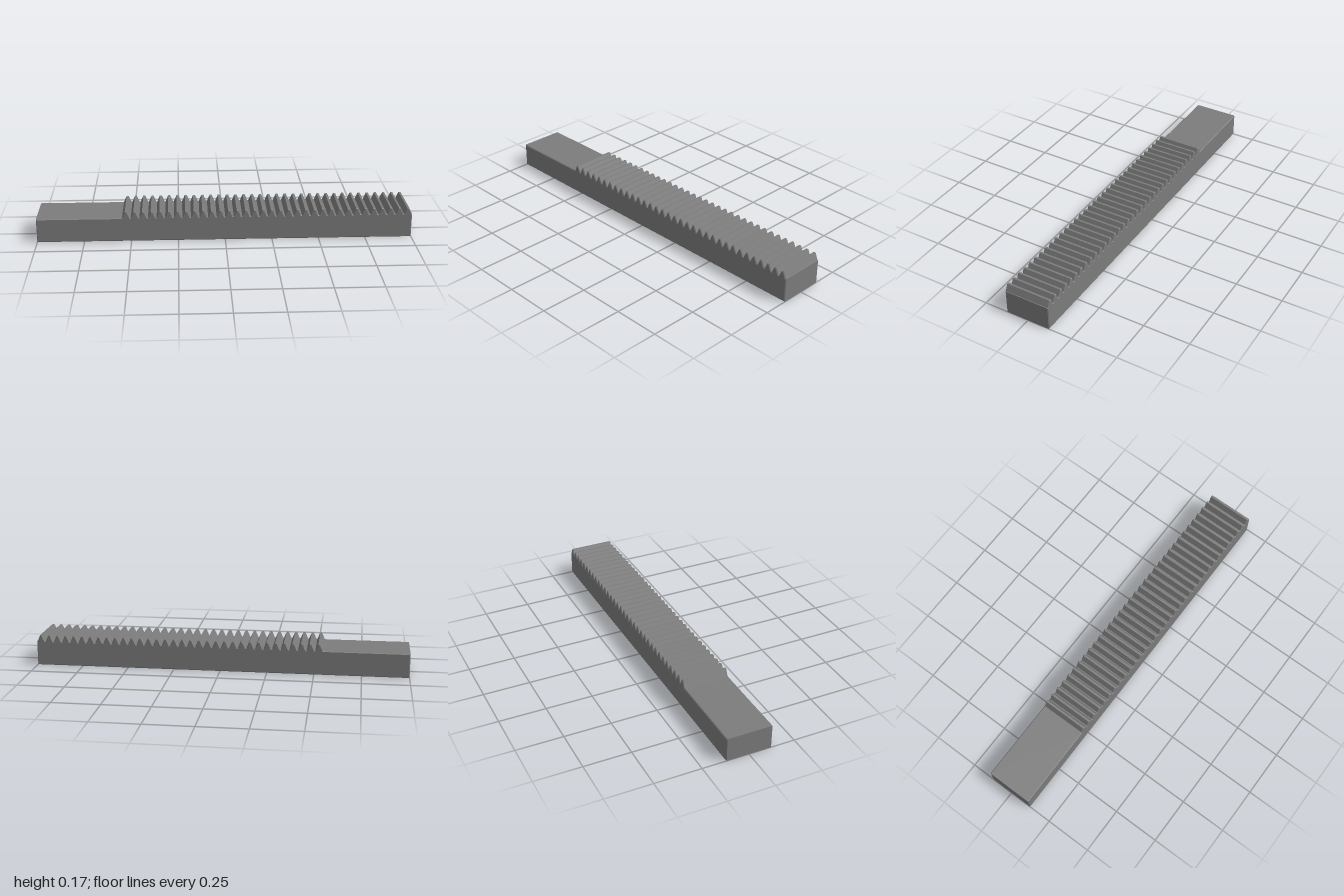
import * as THREE from 'three';

export function createModel() {
  const group = new THREE.Group();
  group.name = 'gearRack';
  const steel = new THREE.MeshStandardMaterial({ color: 0x7c7c7c });
  steel.name = 'steel grey';

  const depth = 0.248, bevel = 0.004;
  const shankTop = 0.13, root = 0.13, tip = 0.166;
  const teeth = 34, first = -0.526, last = 0.976;
  const pitch = (last - first) / (teeth - 1);
  const halfBase = 0.0205, halfTip = 0.0055;

  // Side profile: plain shank on the left, then a row of tapered teeth
  const profile = new THREE.Shape();
  profile.moveTo(-1, 0);
  profile.lineTo(1, 0);
  profile.lineTo(1, root);
  for (let i = teeth - 1; i >= 0; i--) {
    const x = first + i * pitch;
    profile.lineTo(x + halfBase, root + 0.001);
    profile.lineTo(x + halfTip, tip);
    profile.lineTo(x - halfTip, tip);
    profile.lineTo(x - halfBase, root + 0.001);
  }
  profile.lineTo(-0.555, shankTop);
  profile.lineTo(-1, shankTop);
  profile.closePath();

  // Extruded across the width with a fine chamfer on the long edges
  const geometry = new THREE.ExtrudeGeometry(profile, {
    depth: depth - 2 * bevel,
    bevelEnabled: true,
    bevelThickness: bevel,
    bevelSize: bevel,
    bevelOffset: -bevel,
    bevelSegments: 1,
  });
  geometry.translate(0, 0, -depth / 2 + bevel);

  const rack = new THREE.Mesh(geometry, steel);
  rack.name = 'toothedBar';
  group.add(rack);
  return group;
}
